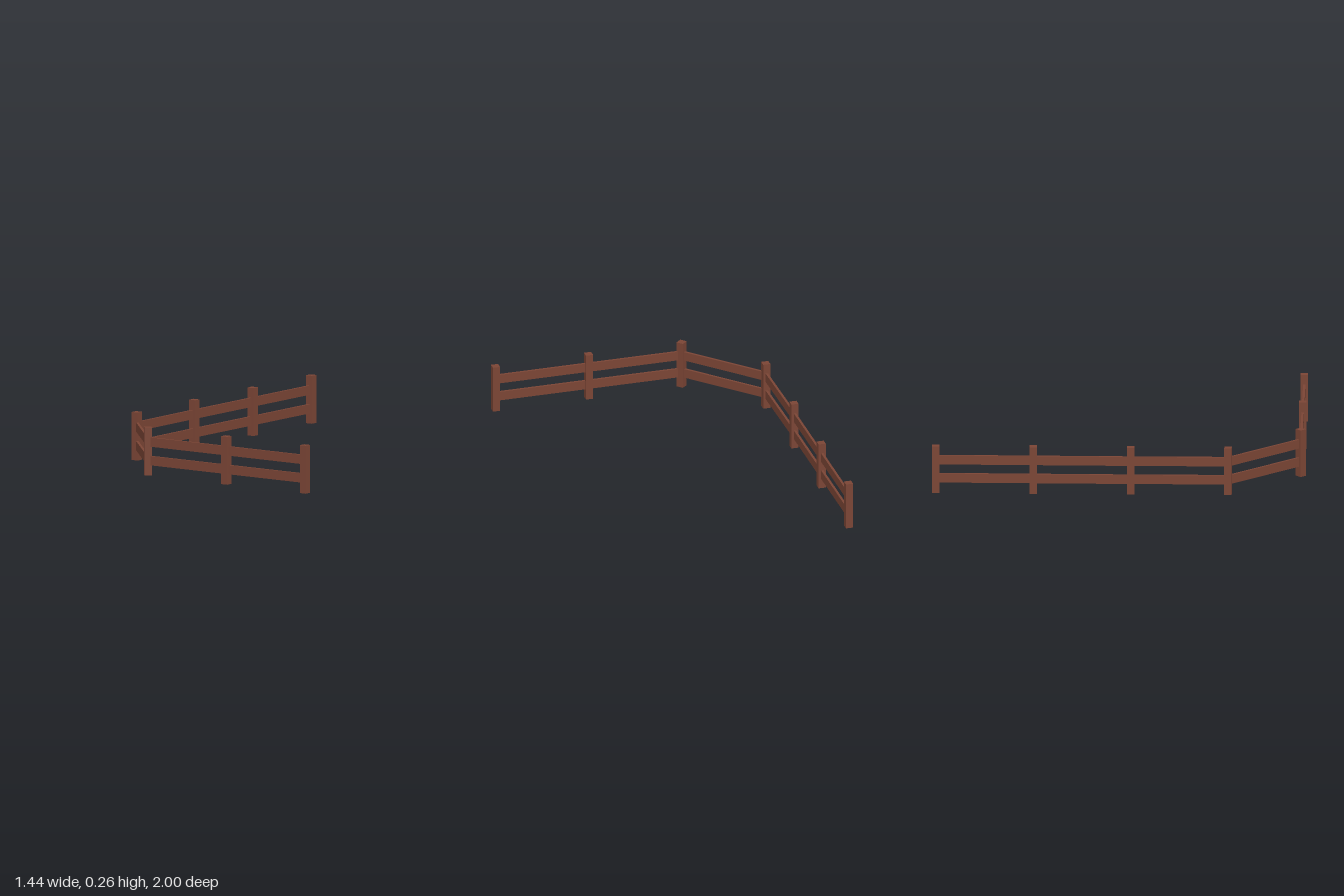
import * as THREE from 'three';

export function createModel() {
  const group = new THREE.Group();
  group.name = 'fence';

  const wood = new THREE.MeshStandardMaterial({ color: 0x7b4535 });
  wood.name = 'brown wood';

  const postSize = 0.04, postHeight = 0.26;
  const railHeight = 0.05, railDepth = 0.013;
  const railLevels = [0.08, 0.181];

  // Post positions along the fence line, as x and z
  const line = [
    [-0.69, -0.98], [-0.695, -0.457], [-0.7, 0.065], [-0.7, 0.587],
    [-0.345, 0.971], [0.176, 0.971], [0.697, 0.97],
  ];

  const addBox = (name, w, h, d, x, y, z, yaw) => {
    const mesh = new THREE.Mesh(new THREE.BoxGeometry(w, h, d), wood);
    mesh.name = name;
    mesh.position.set(x, y, z);
    mesh.rotation.y = yaw;
    group.add(mesh);
  };

  // Direction of the span that starts at post i
  const spanYaw = (i) => {
    const [ax, az] = line[i], [bx, bz] = line[i + 1];
    return Math.atan2(-(bz - az), bx - ax);
  };

  // Posts, each turned with the span that reaches it
  line.forEach(([x, z], i) => {
    addBox('post', postSize, postHeight, postSize, x, postHeight / 2, z, spanYaw(Math.max(0, i - 1)));
  });

  // Two rails between each pair of neighbouring posts
  for (let i = 0; i < line.length - 1; i++) {
    const [ax, az] = line[i], [bx, bz] = line[i + 1];
    const length = Math.hypot(bx - ax, bz - az);
    for (const y of railLevels) {
      addBox('rail', length, railHeight, railDepth, (ax + bx) / 2, y, (az + bz) / 2, spanYaw(i));
    }
  }

  return group;
}
